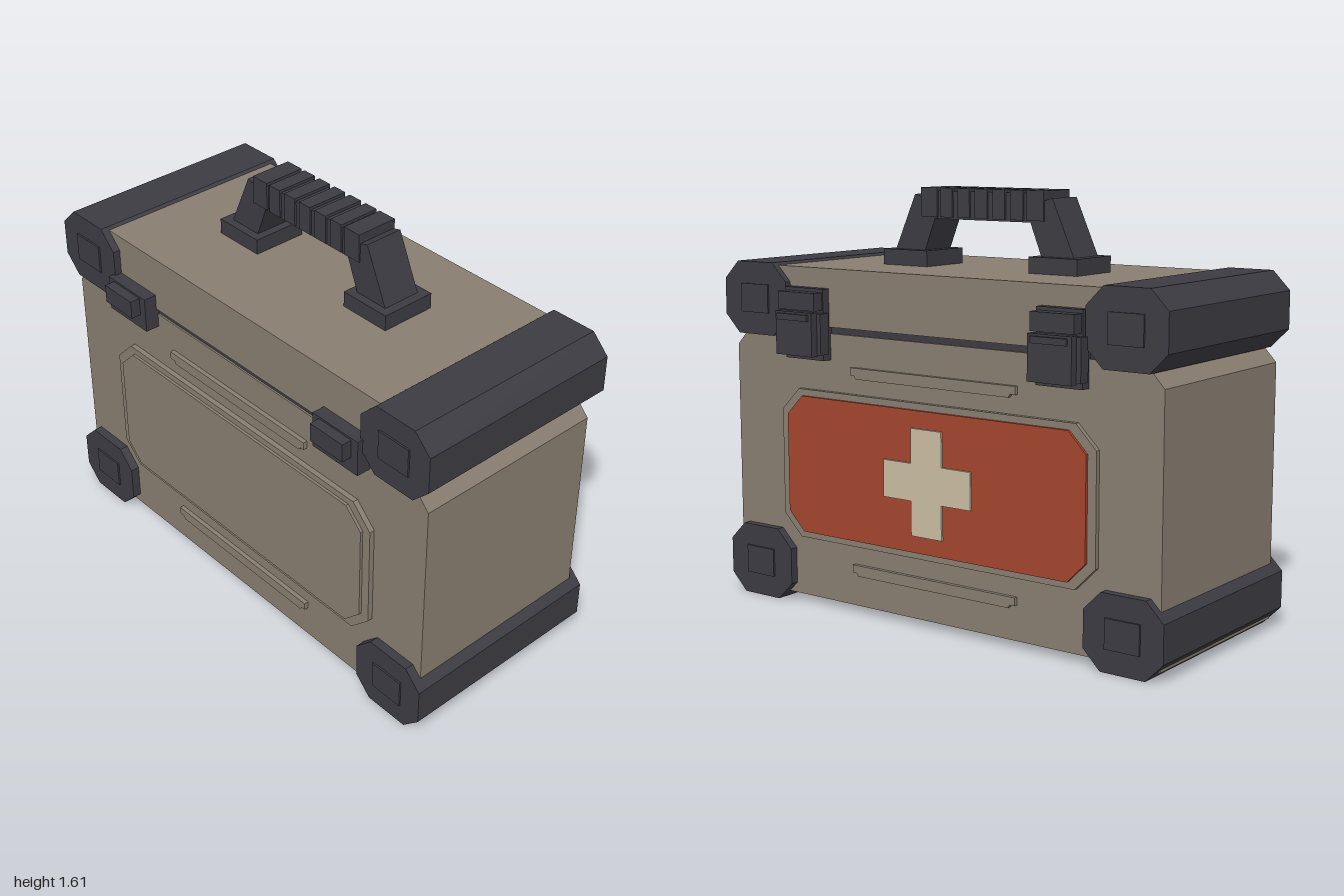
import * as THREE from 'three';

const flat = (name, color) => {
  const m = new THREE.MeshStandardMaterial({ color });
  m.name = name;
  return m;
};

export function createModel() {
  const tan = flat('tan shell', 0x887d70);
  const dark = flat('dark rubber', 0x3c3b42);
  const red = flat('red panel', 0xa3452d);
  const cream = flat('cream cross', 0xc8bda2);
  const root = new THREE.Group();
  const ZC = 0.0075; // depth centre of the case

  const add = (name, geo, mat) => {
    const mesh = new THREE.Mesh(geo, mat);
    mesh.name = name;
    root.add(mesh);
    return mesh;
  };
  // Box given by its extents on each axis
  const box = (name, mat, x0, x1, y0, y1, z0, z1) =>
    add(name, new THREE.BoxGeometry(x1 - x0, y1 - y0, z1 - z0)
      .translate((x0 + x1) / 2, (y0 + y1) / 2, (z0 + z1) / 2), mat);
  // Outline in x,y extruded from z0 to z1
  const prism = (name, mat, pts, z0, z1) => {
    const shape = new THREE.Shape(pts.map(([x, y]) => new THREE.Vector2(x, y)));
    const geo = new THREE.ExtrudeGeometry(shape, { depth: z1 - z0, bevelEnabled: false });
    return add(name, geo.translate(0, 0, z0), mat);
  };
  // Rectangle with cut corners
  const cutRect = (x0, x1, y0, y1, c) => [
    [x0 + c, y0], [x1 - c, y0], [x1, y0 + c], [x1, y1 - c],
    [x1 - c, y1], [x0 + c, y1], [x0, y1 - c], [x0, y0 + c],
  ];

  // Shell, seam and lid
  prism('body', tan, [[-0.97, 0.03], [0.97, 0.03], [0.97, 0.99], [0.9, 1.065], [-0.9, 1.065], [-0.97, 0.99]], -0.385, 0.398);
  box('seam', dark, -0.88, 0.88, 1.06, 1.095, -0.378, 0.391);
  box('lid', tan, -0.9, 0.9, 1.09, 1.31, -0.392, 0.404);

  // Octagonal bumper rails along the four long corners
  for (const s of [-1, 1]) {
    for (const [name, y] of [['lowerBumper', 0], ['upperBumper', 1.04]]) {
      const x = s * 0.84;
      prism(name, dark, cutRect(x - 0.16, x + 0.16, y, y + 0.28, 0.07), -0.417, 0.433);
      box(name + 'Pad', dark, x - 0.07, x + 0.07, y + 0.085, y + 0.195, -0.424, 0.44);
    }

    // Front latch
    const lx = s * 0.58;
    box('frontLatchPlate', dark, lx - 0.112, lx + 0.112, 1.01, 1.15, 0.38, 0.455);
    box('frontLatchKnob', dark, lx - 0.08, lx + 0.08, 1.07, 1.142, 0.45, 0.495);

    // Back latch: base, upper catch, lever and lip
    box('backLatchBase', dark, lx - 0.095, lx + 0.095, 0.965, 1.235, -0.425, -0.37);
    box('backLatchCatch', dark, lx - 0.09, lx + 0.09, 1.155, 1.222, -0.47, -0.41);
    box('backLatchLever', dark, lx - 0.108, lx + 0.108, 0.99, 1.145, -0.455, -0.41);
    box('backLatchFace', dark, lx - 0.09, lx + 0.09, 0.985, 1.15, -0.485, -0.45);
    box('backLatchLip', dark, lx - 0.075, lx + 0.075, 1.118, 1.142, -0.495, -0.48);

    // Handle foot and slanted leg
    box('handleFoot', dark, s * 0.34 - 0.105, s * 0.34 + 0.105, 1.3, 1.37, -0.117, 0.102);
    prism('handleLeg', dark, [[0.412, 1.365], [0.315, 1.58], [0.28, 1.57], [0.2, 1.5], [0.22, 1.49], [0.27, 1.365]]
      .map(([x, y]) => [s * x, y]), -0.085, 0.07);
  }

  // Grip with ridges
  box('handleGrip', dark, -0.28, 0.28, 1.49, 1.595, -0.083, 0.068);
  for (let i = -3; i <= 3; i++) {
    const w = Math.abs(i) === 3 ? 0.038 : 0.028;
    box('gripRidge', dark, i * 0.081 - w, i * 0.081 + w, 1.497, 1.606, -0.091, 0.076);
  }

  // Framed panels and ribs on front and back
  for (const s of [-1, 1]) {
    const slab = (name, mat, pts, a, b) => {
      const z = [ZC + s * a, ZC + s * b];
      return prism(name, mat, pts, Math.min(...z), Math.max(...z));
    };
    slab('panelFrame', tan, cutRect(-0.72, 0.72, 0.265, 0.845, 0.085), 0.38, 0.411);
    slab('panel', s > 0 ? tan : red, cutRect(-0.685, 0.685, 0.29, 0.82, 0.075), 0.41, 0.422);
    for (const y of [0.15, 0.905]) {
      slab('rib', tan, [[-0.35, y], [0.35, y], [0.358, y + 0.012], [0.375, y + 0.012], [0.375, y + 0.042],
        [-0.38, y + 0.042], [-0.38, y + 0.012], [-0.358, y + 0.012]], 0.38, 0.408);
    }
  }

  // Cross plate on the back panel
  const a = 0.07, r = 0.2, cy = 0.555;
  prism('cross', cream, [[-a, -r], [a, -r], [a, -a], [r, -a], [r, a], [a, a], [a, r], [-a, r], [-a, a], [-r, a], [-r, -a], [-a, -a]]
    .map(([x, y]) => [x, y + cy]), -0.423, -0.4145);

  return root;
}
